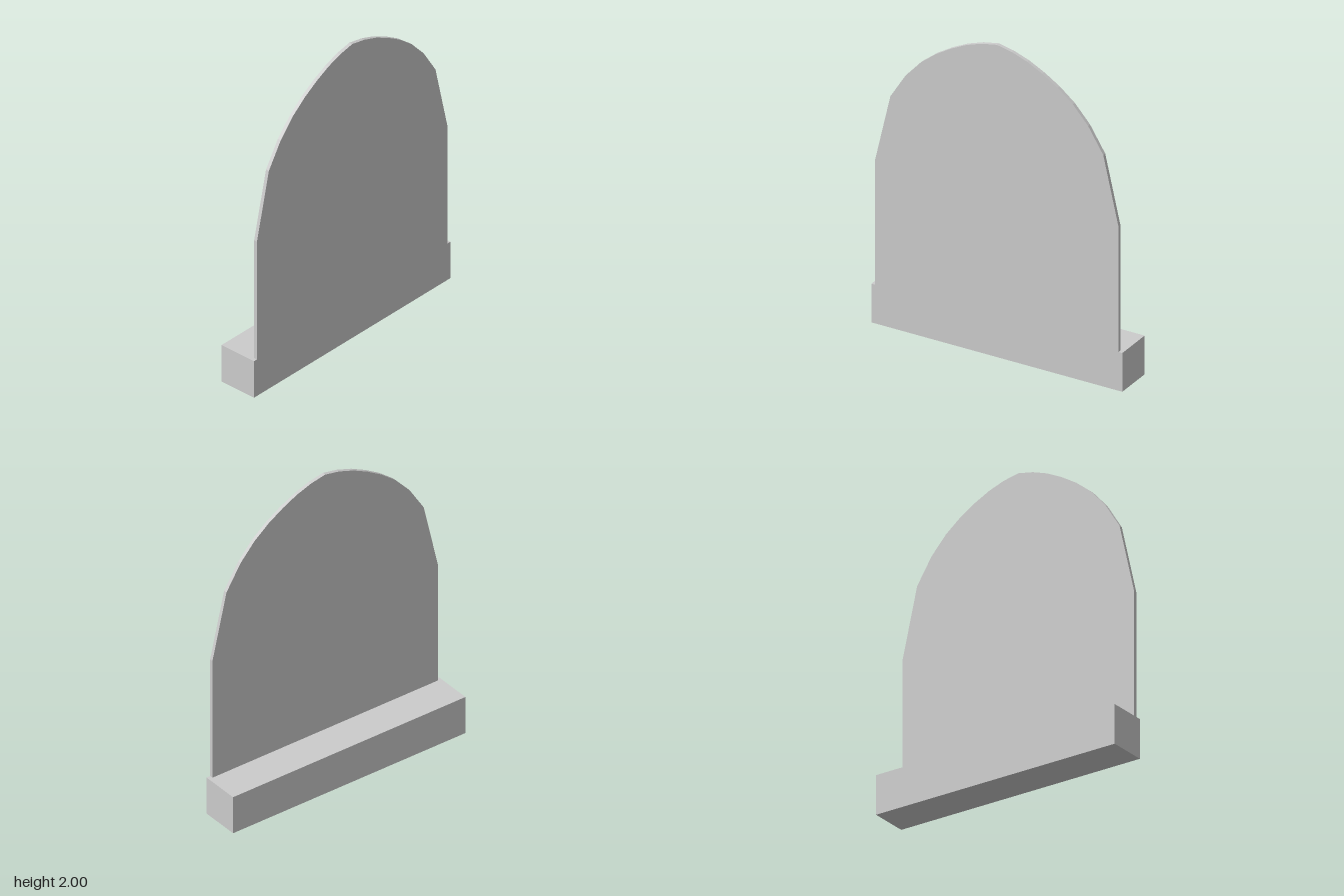
import * as THREE from 'three';

export function createModel() {
  const group = new THREE.Group();
  const material = new THREE.MeshStandardMaterial({ color: 0xcccccc, flatShading: true });

  const baseHeight = 0.248, baseDepth = 0.248, panelThickness = 0.022;

  // Plinth block
  const base = new THREE.Mesh(new THREE.BoxGeometry(1.655, baseHeight, baseDepth), material);
  base.name = 'base';
  base.position.y = baseHeight / 2;
  group.add(base);

  // Arched panel: heights of the arch at x = 0, 0.1 ... 0.8, mirrored to both sides
  const heights = [2, 1.98, 1.945, 1.895, 1.833, 1.753, 1.642, 1.482, 1.05];
  const half = heights.map((y, i) => new THREE.Vector2(i * 0.1003, y));
  half.push(new THREE.Vector2(0.8024, baseHeight));
  const mirrored = half.slice(1).map((p) => new THREE.Vector2(-p.x, p.y));
  const outline = new THREE.Shape([...mirrored.reverse(), ...half]);

  // Panel stands flush with the front of the base
  const panel = new THREE.Mesh(
    new THREE.ExtrudeGeometry(outline, { depth: panelThickness, bevelEnabled: false }),
    material
  );
  panel.name = 'archedPanel';
  panel.position.z = baseDepth / 2 - panelThickness;
  group.add(panel);

  return group;
}
